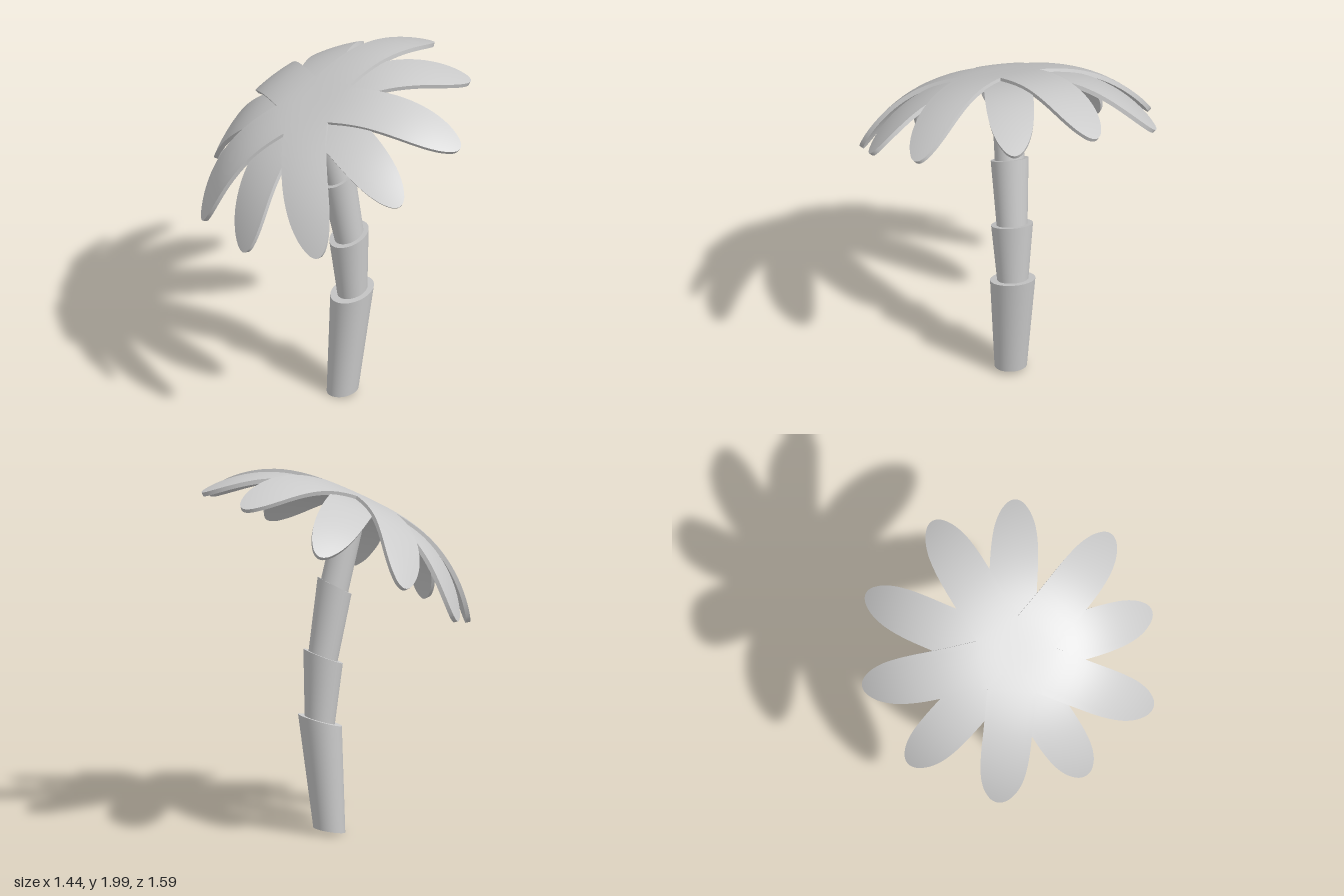
import * as THREE from 'three';
import { toCreasedNormals } from 'three/addons/utils/BufferGeometryUtils.js';

const TILT = 0.454; // lean of the crown

// One trunk section: a round frustum between two tilted rings { x, y, r, tilt }
function trunkSection(bottom, top) {
  const g = new THREE.CylinderGeometry(1, 1, 1, 40);
  const p = g.attributes.position;
  for (let i = 0; i < p.count; i++) {
    const ring = p.getY(i) < 0 ? bottom : top;
    const u = p.getX(i) * ring.r;
    p.setXYZ(i, ring.x + u * Math.cos(ring.tilt), ring.y + u * Math.sin(ring.tilt), p.getZ(i) * ring.r);
  }
  return toCreasedNormals(g, 0.7);
}

// Drooping dome surface; depth is measured along its normal
function domePoint(u, w, depth) {
  const r = Math.hypot(u, w);
  const n = new THREE.Vector3(1.86 * r * u, 1, 1.86 * r * w).normalize();
  return new THREE.Vector3(u, -0.62 * r ** 3, w).addScaledVector(n, -depth);
}

// Five joined leaves, bent over the dome, with a thickness
function leafStar({ cu, cw, phase, depth, thickness }) {
  const LEAVES = 5, COLS = 8, baseD = 0.181;
  // half outline: distance along the leaf, half width
  const edge = new THREE.SplineCurve([
    [baseD, baseD * Math.tan(Math.PI / LEAVES)], [0.38, 0.131], [0.55, 0.13], [0.67, 0.117],
    [0.75, 0.09], [0.8, 0.054], [0.82, 0.024], [0.825, 0],
  ].map(([d, w]) => new THREE.Vector2(d, w)));
  const rows = [0, 0.25, 0.5, 0.75].map((t) => edge.getPoint(0).multiplyScalar(t)).concat(edge.getPoints(28));
  const pos = [];
  const quad = (a, b, c, d) => [a, b, c, a, c, d].forEach((v) => pos.push(v.x, v.y, v.z));

  for (let k = 0; k < LEAVES; k++) {
    const a = phase + (k * 2 * Math.PI) / LEAVES, ca = Math.cos(a), sa = Math.sin(a);
    const grid = (dep) => rows.map(({ x: d, y: w }) => Array.from({ length: COLS + 1 }, (_, c) => {
      const s = w * ((2 * c) / COLS - 1);
      return domePoint(cu + d * ca - s * sa, cw + d * sa + s * ca, dep);
    }));
    const T = grid(depth), B = grid(depth + thickness);
    for (let r = 0; r < rows.length - 1; r++) {
      for (let c = 0; c < COLS; c++) {
        quad(T[r][c], T[r][c + 1], T[r + 1][c + 1], T[r + 1][c]);
        quad(B[r][c], B[r + 1][c], B[r + 1][c + 1], B[r][c + 1]);
      }
      // rim of the free part of the leaf
      if (r >= 4) {
        quad(T[r][COLS], B[r][COLS], B[r + 1][COLS], T[r + 1][COLS]);
        quad(T[r][0], T[r + 1][0], B[r + 1][0], B[r][0]);
      }
    }
  }
  const g = new THREE.BufferGeometry();
  g.setAttribute('position', new THREE.Float32BufferAttribute(pos, 3));
  return toCreasedNormals(g, 0.7);
}

export function createModel() {
  const model = new THREE.Group();
  model.name = 'palmTree';
  const material = new THREE.MeshStandardMaterial({ color: 0xcccccc });
  const add = (parent, name, geometry) => {
    const mesh = new THREE.Mesh(geometry, material);
    mesh.name = name;
    parent.add(mesh);
  };

  // Trunk: stacked sections that flare upward and lean over
  const trunk = new THREE.Group();
  trunk.name = 'trunk';
  model.add(trunk);
  const ring = (x, y, r, tilt) => ({ x, y, r, tilt });
  [
    [ring(0.035, 0.015, 0.087, 0.17), ring(0.088, 0.62, 0.122, 0.29)],
    [ring(0.09, 0.605, 0.083, 0.29), ring(0.07, 0.968, 0.113, 0.38)],
    [ring(0.075, 0.94, 0.082, 0.38), ring(0.005, 1.35, 0.102, 0.5)],
    [ring(0.012, 1.32, 0.08, 0.4), ring(-0.105, 1.805, 0.08, TILT)],
  ].forEach(([b, t], i) => add(trunk, `trunkSection${i + 1}`, trunkSection(b, t)));

  // Crown: two layers of leaves, the lower turned between the upper
  const crown = new THREE.Group();
  crown.name = 'crown';
  crown.position.set(-0.13, 1.84, 0);
  crown.rotation.z = TILT;
  model.add(crown);
  const deg = Math.PI / 180;
  add(crown, 'upperLeaves', leafStar({ cu: -0.03, cw: 0.02, phase: 46 * deg, depth: 0, thickness: 0.024 }));
  add(crown, 'lowerLeaves', leafStar({ cu: -0.02, cw: -0.01, phase: 9 * deg, depth: 0.018, thickness: 0.024 }));
  return model;
}
